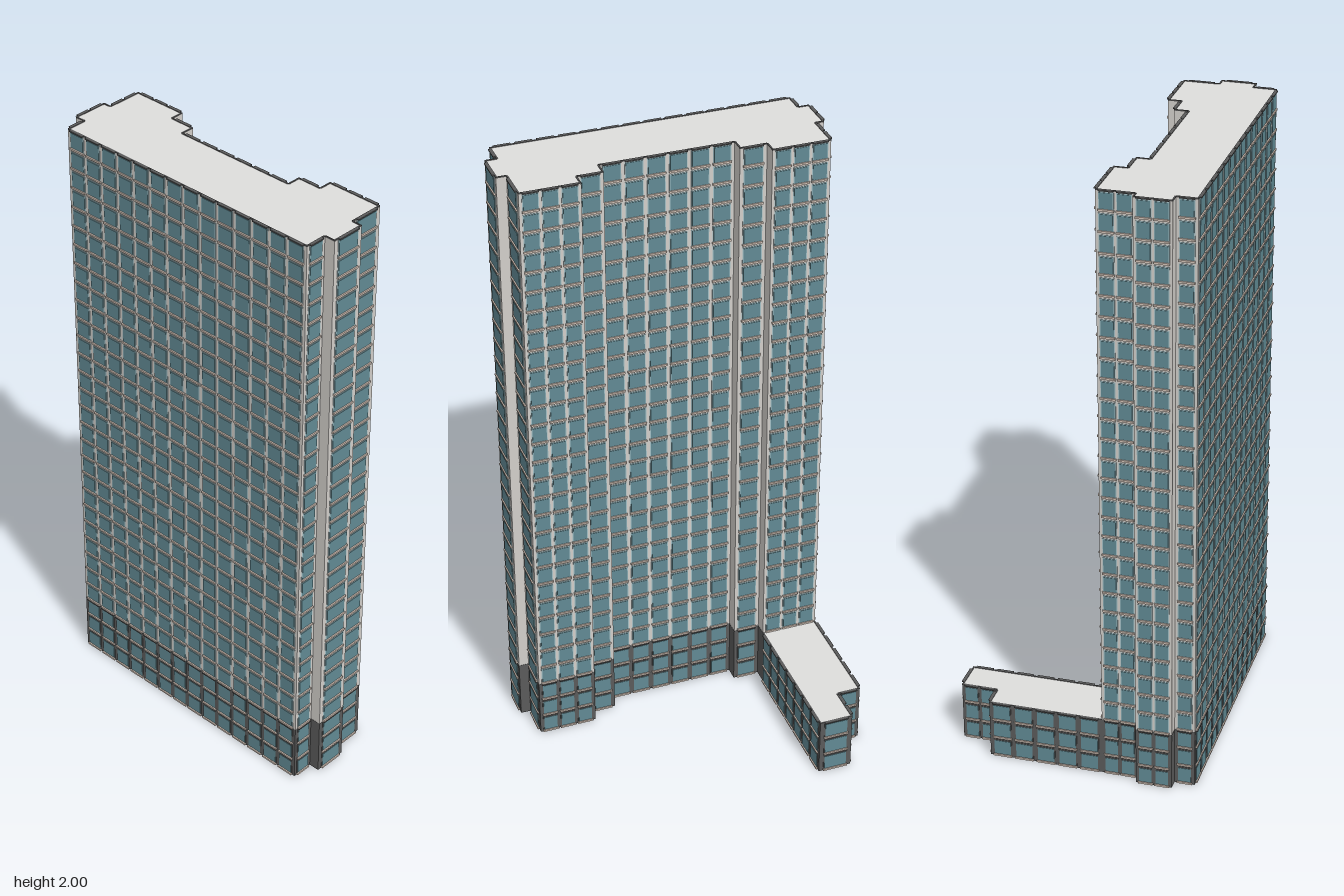
import * as THREE from 'three';
import { mergeGeometries } from 'three/addons/utils/BufferGeometryUtils.js';

const mat = (name, color) =>
  Object.assign(new THREE.MeshStandardMaterial({ color }), { name });

// Plan corners as (along, across) the slab, which is turned in plan
const COS = 0.495, SIN = 0.869;
const toPlan = ([u, v]) => [u * COS + v * SIN, u * SIN - v * COS];
const towerPlan = [
  [-0.228, 0.084], [-0.228, 0.041], [-0.142, 0.041], [-0.142, -0.003],
  [0.282, -0.003], [0.282, 0.042], [0.364, 0.042], [0.364, 0.084],
  [0.553, 0.084], [0.553, -0.031], [0.585, -0.031], [0.585, -0.145],
  [0.549, -0.145], [0.549, -0.219], [-0.406, -0.219], [-0.406, -0.153],
  [-0.441, -0.153], [-0.441, -0.035], [-0.415, -0.035], [-0.415, 0.084],
].map(toPlan);
const wingPlan = [[-0.415, 0.461], [-0.338, 0.461], [-0.338, 0.58], [-0.228, 0.58]].map(toPlan);
const basePlan = [...towerPlan, ...wingPlan];

const FLOOR = 2 / 30, BASE_FLOORS = 3, FLOORS = 30;

export function createModel() {
  const group = new THREE.Group();
  const roof = mat('roof grey', 0xdededc);
  const wall = mat('pale concrete', 0xd2cfca);
  const dark = mat('dark frame', 0x5a5a5a);
  const glass = mat('blue glass', 0x618a94);
  const trim = mat('pale sill', 0xd6c6ba);
  const rim = mat('pale blue rim', 0xa4c0c6);

  // Solid storey block extruded from a plan
  function block(name, plan, y0, y1, sideMat) {
    const shape = new THREE.Shape(plan.map(([x, z]) => new THREE.Vector2(x, -z)));
    const geo = new THREE.ExtrudeGeometry(shape, { depth: y1 - y0, bevelEnabled: false });
    geo.rotateX(-Math.PI / 2).translate(0, y0, 0);
    const mesh = new THREE.Mesh(geo, [roof, sideMat]);
    mesh.name = name;
    group.add(mesh);
  }

  // Windows, sills and roof edge on every side of a plan
  function facade(name, plan, first, last, rimMat) {
    const parts = { Rims: [], Glass: [], Sills: [], RoofEdge: [] };
    plan.forEach(([x0, z0], i) => {
      const [x1, z1] = plan[(i + 1) % plan.length];
      const len = Math.hypot(x1 - x0, z1 - z0);
      const dx = (x1 - x0) / len, dz = (z1 - z0) / len;
      const angle = Math.atan2(dz, -dx);
      // plate at distance s along the side, standing out by t
      const plate = (list, s, y, w, h, t, back = 0.002) => {
        const g = new THREE.BoxGeometry(w, h, t + back);
        const out = (t - back) / 2;
        g.rotateY(angle);
        g.translate(x0 + dx * s + dz * out, y, z0 + dz * s - dx * out);
        list.push(g);
      };
      // thin dark line around the roof
      plate(parts.RoofEdge, len / 2, last * FLOOR - 0.002, len, 0.004, 0.0005, 0.004);
      // short returns stay solid
      if (len < 0.06) return;
      const bays = Math.max(1, Math.round(len / 0.069 - 0.2));
      const margin = 0.005;
      const bay = (len - 2 * margin) / bays;
      const w = bay * 0.75;
      for (let b = 0; b < bays; b++) {
        const s = margin + (b + 0.5) * bay;
        for (let f = first; f < last; f++) {
          const y = (f + 0.5) * FLOOR;
          plate(parts.Rims, s, y, w + 0.006, 0.055, 0.0015);
          plate(parts.Glass, s, y, w, 0.049, 0.003);
          plate(parts.Sills, s, y - 0.0295, w + 0.008, 0.006, 0.006);
        }
        // dark hood over the top window
        plate(parts.RoofEdge, s, last * FLOOR - 0.002, w + 0.004, 0.004, 0.007);
      }
    });
    const mats = { Rims: rimMat, Glass: glass, Sills: trim, RoofEdge: dark };
    for (const key in parts) {
      const mesh = new THREE.Mesh(mergeGeometries(parts[key]), mats[key]);
      mesh.name = name + key;
      group.add(mesh);
    }
  }

  const split = BASE_FLOORS * FLOOR;
  block('baseAndWing', basePlan, 0, split - 0.002, dark);
  block('tower', towerPlan, split - 0.002, 1.998, wall);
  facade('base', basePlan, 0, BASE_FLOORS, dark);
  facade('tower', towerPlan, BASE_FLOORS, FLOORS, rim);
  return group;
}
